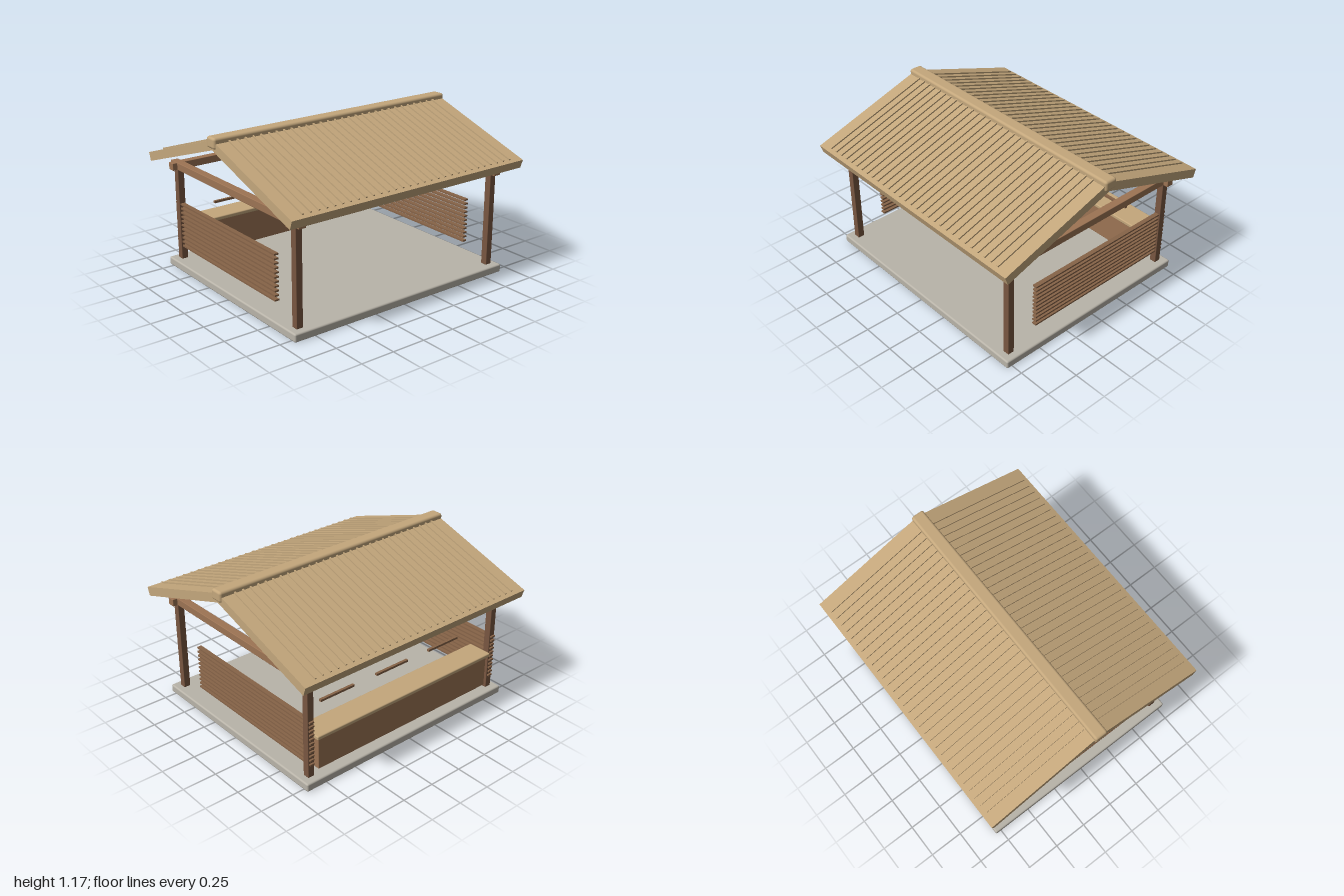
import * as THREE from 'three';
import { RoundedBoxGeometry } from 'three/addons/geometries/RoundedBoxGeometry.js';

const mat = (name, color) => {
  const m = new THREE.MeshStandardMaterial({ color });
  m.name = name;
  return m;
};

export function createModel() {
  const stone = mat('pale stone', 0xb9b4a9);
  const thatch = mat('tan wood', 0xc4a77c);
  const darkWood = mat('dark post wood', 0x795741);
  const wood = mat('warm wood', 0x9d7454);
  const slatWood = mat('slat wood', 0x876448);

  const model = new THREE.Group();
  model.name = 'pavilion';

  // Box from centre and size; a radius softens the edges
  const box = (name, material, [w, h, d], [x, y, z], radius = 0, parent = model) => {
    const geo = radius ? new RoundedBoxGeometry(w, h, d, 2, radius) : new THREE.BoxGeometry(w, h, d);
    const mesh = new THREE.Mesh(geo, material);
    mesh.name = name;
    mesh.position.set(x, y, z);
    parent.add(mesh);
    return mesh;
  };

  // Floor
  box('floorSlab', stone, [1.83, 0.06, 1.59], [0, 0.03, 0], 0.012);

  // Posts and the ring of beams
  for (const s of [-1, 1]) {
    for (const t of [-1, 1]) box('post', darkWood, [0.05, 0.72, 0.05], [s * 0.84, 0.42, t * 0.718], 0.004);
    box('longBeam', wood, [1.81, 0.054, 0.055], [0, 0.772, s * 0.718], 0.004);
    box('crossBeam', wood, [0.058, 0.055, 1.565], [s * 0.84, 0.7725, 0], 0.004);
  }

  // Side screens of horizontal slats
  for (const s of [-1, 1]) {
    const screen = new THREE.Group();
    screen.name = s > 0 ? 'leftScreen' : 'rightScreen';
    for (let i = 0; i < 11; i++) {
      box('slat', slatWood, [0.034, 0.012, 1.25], [s * 0.84, 0.163 + i * 0.032, -0.132], 0, screen);
    }
    model.add(screen);
  }

  // Counter along the back, with three bars above it
  box('counterBody', wood, [1.57, 0.24, 0.155], [0, 0.218, -0.672], 0.005);
  box('counterTop', thatch, [1.61, 0.03, 0.19], [0, 0.351, -0.675], 0.008);
  for (const x of [-0.492, 0, 0.492]) box('bar', slatWood, [0.29, 0.016, 0.02], [x, 0.483, -0.59]);

  // Gable roof: a chevron drawn in z and y, pushed along x
  const chevron = new THREE.Shape([
    [0, 1.08], [0.858, 0.795], [0.879, 0.856], [0, 1.148], [-0.879, 0.856], [-0.858, 0.795],
  ].map(([z, y]) => new THREE.Vector2(z, y)));
  const roofGeo = new THREE.ExtrudeGeometry(chevron, { depth: 1.974, bevelEnabled: false });
  roofGeo.translate(0, 0, -0.987).rotateY(-Math.PI / 2);
  const roof = new THREE.Mesh(roofGeo, thatch);
  roof.name = 'roof';
  model.add(roof);

  // Battens running down both slopes
  const slope = Math.atan2(1.148 - 0.856, 0.879);
  for (const s of [-1, 1]) {
    const battens = new THREE.Group();
    battens.name = s > 0 ? 'frontBattens' : 'backBattens';
    for (let i = 0; i < 30; i++) {
      const b = box('batten', thatch, [0.012, 0.014, 0.87], [(i - 14.5) * 0.061, 1.0063, s * 0.437], 0, battens);
      b.rotation.x = s * slope;
    }
    model.add(battens);
  }

  // Ridge cap
  box('ridgeCap', thatch, [2, 0.078, 0.098], [0, 1.131, 0], 0.018);

  return model;
}
